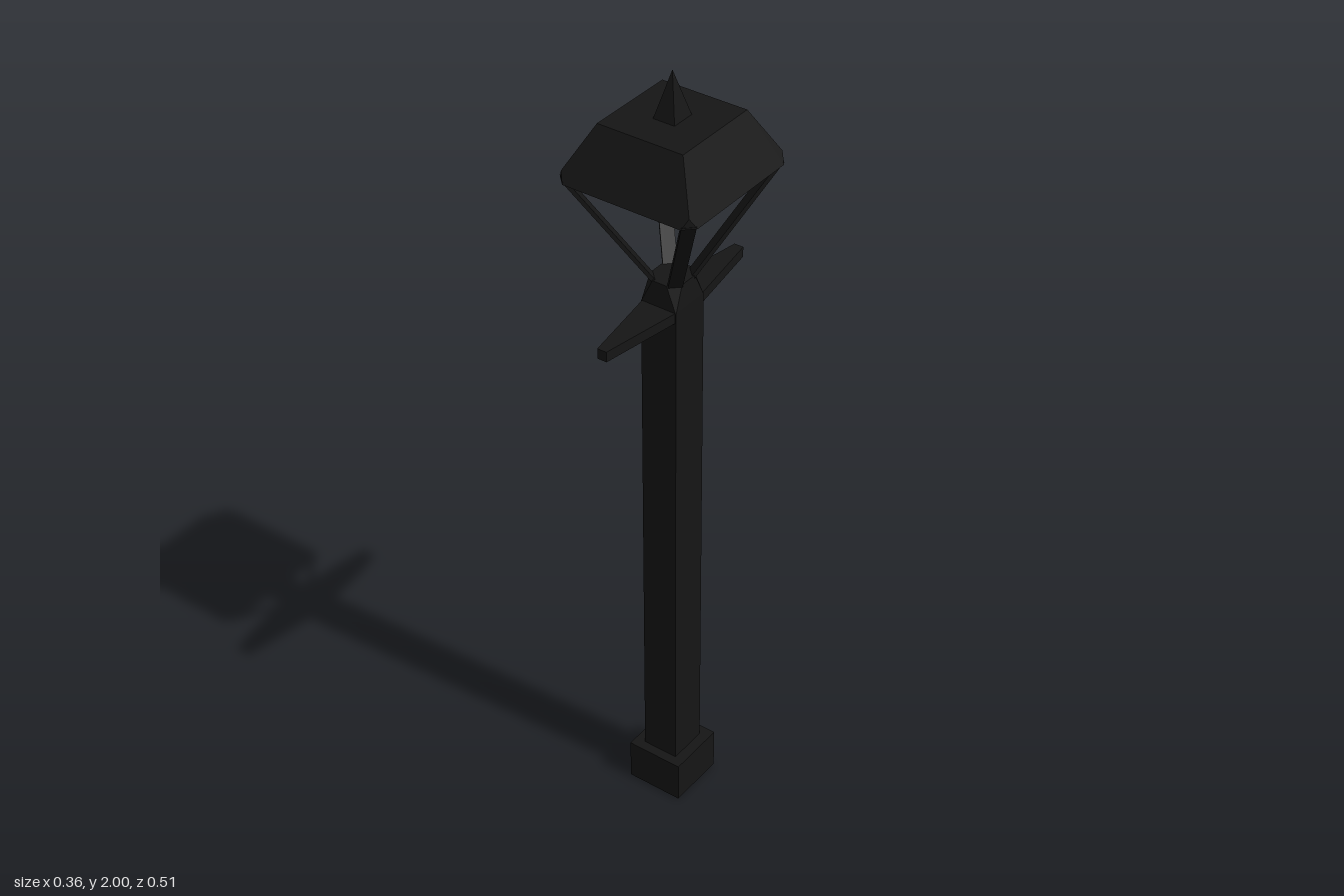
import * as THREE from 'three';
import { ConvexGeometry } from 'three/addons/geometries/ConvexGeometry.js';

const iron = new THREE.MeshStandardMaterial({ color: 0x151515, flatShading: true });
const ironSheet = new THREE.MeshStandardMaterial({ color: 0x151515, flatShading: true, side: THREE.DoubleSide });
const V = (x, y, z) => new THREE.Vector3(x, y, z);

// Rectangle with its corners cut by c, as eight points going round from +x
function octagon(hx, hz, c, y) {
  return [
    V(hx, y, -hz + c), V(hx, y, hz - c), V(hx - c, y, hz), V(-hx + c, y, hz),
    V(-hx, y, hz - c), V(-hx, y, -hz + c), V(-hx + c, y, -hz), V(hx - c, y, -hz),
  ];
}

// Open-bottomed hipped roof whose lower corners are cut off upright
function roofGeometry() {
  const y0 = 1.76, y1 = 1.89, cut = 0.025, t = 0.19;
  const rim = octagon(0.178, 0.183, cut, y0);
  const signs = [[1, -1], [1, 1], [-1, 1], [-1, -1]];
  const top = signs.map(([sx, sz]) => V(sx * 0.11, y1, sz * 0.115));
  const hip = signs.map(([sx, sz], i) => V(sx * 0.178, y0, sz * 0.183).lerp(top[i], t));
  const points = [];
  const fan = (...p) => {
    for (let i = 1; i < p.length - 1; i++) points.push(p[0], p[i + 1], p[i]);
  };
  for (let i = 0; i < 4; i++) {
    const j = (i + 1) % 4;
    const a = rim[2 * i], b = rim[2 * i + 1];
    fan(a, b, hip[j], top[j], top[i], hip[i]); // sloping side
    fan(b, rim[(2 * i + 2) % 8], hip[j]);      // cut corner
  }
  fan(...top);
  const geometry = new THREE.BufferGeometry().setFromPoints(points);
  geometry.computeVertexNormals();
  return geometry;
}

// Flat strut running from the post head to one corner of the roof
function strutGeometry(sx, sz) {
  const w = 0.0115, d = 0.004;
  const points = [];
  for (const [x, y, z] of [[0.027, 1.49, 0.029], [0.162, 1.765, 0.167]]) {
    for (const a of [-w, w]) {
      for (const b of [-d, d]) points.push(V(sx * (x + a + b), y, sz * (z - a + b)));
    }
  }
  return new ConvexGeometry(points);
}

export function createModel() {
  const model = new THREE.Group();
  model.name = 'lampPost';
  const add = (name, geometry, material = iron) => {
    const mesh = new THREE.Mesh(geometry, material);
    mesh.name = name;
    model.add(mesh);
    return mesh;
  };

  // Foot and square shaft
  add('base', new THREE.BoxGeometry(0.148, 0.11, 0.154)).position.y = 0.055;
  add('post', new THREE.BoxGeometry(0.094, 1.34, 0.104)).position.y = 0.77;

  // Head of the post, with bevelled corners
  add('postHead', new ConvexGeometry([
    ...octagon(0.047, 0.052, 0.001, 1.44),
    ...octagon(0.043, 0.048, 0.024, 1.5),
  ]));

  // Cross bar tapering toward both ends
  for (const s of [1, -1]) {
    const points = [];
    for (const [z, w] of [[0, 0.045], [0.05, 0.045], [0.256, 0.012]]) {
      for (const y of [1.415, 1.441]) points.push(V(w, y, s * z), V(-w, y, s * z));
    }
    add(s > 0 ? 'frontCrossBar' : 'backCrossBar', new ConvexGeometry(points));
  }

  // Four struts holding the roof
  for (const sx of [1, -1]) {
    for (const sz of [1, -1]) {
      add(`${sz > 0 ? 'front' : 'back'}${sx > 0 ? 'Left' : 'Right'}Strut`, strutGeometry(sx, sz));
    }
  }

  // Roof and finial
  add('roof', roofGeometry(), ironSheet);
  add('finial', new ConvexGeometry([
    V(0.028, 1.889, 0.031), V(-0.028, 1.889, 0.031),
    V(0.028, 1.889, -0.031), V(-0.028, 1.889, -0.031), V(0, 2, 0),
  ]));

  return model;
}
